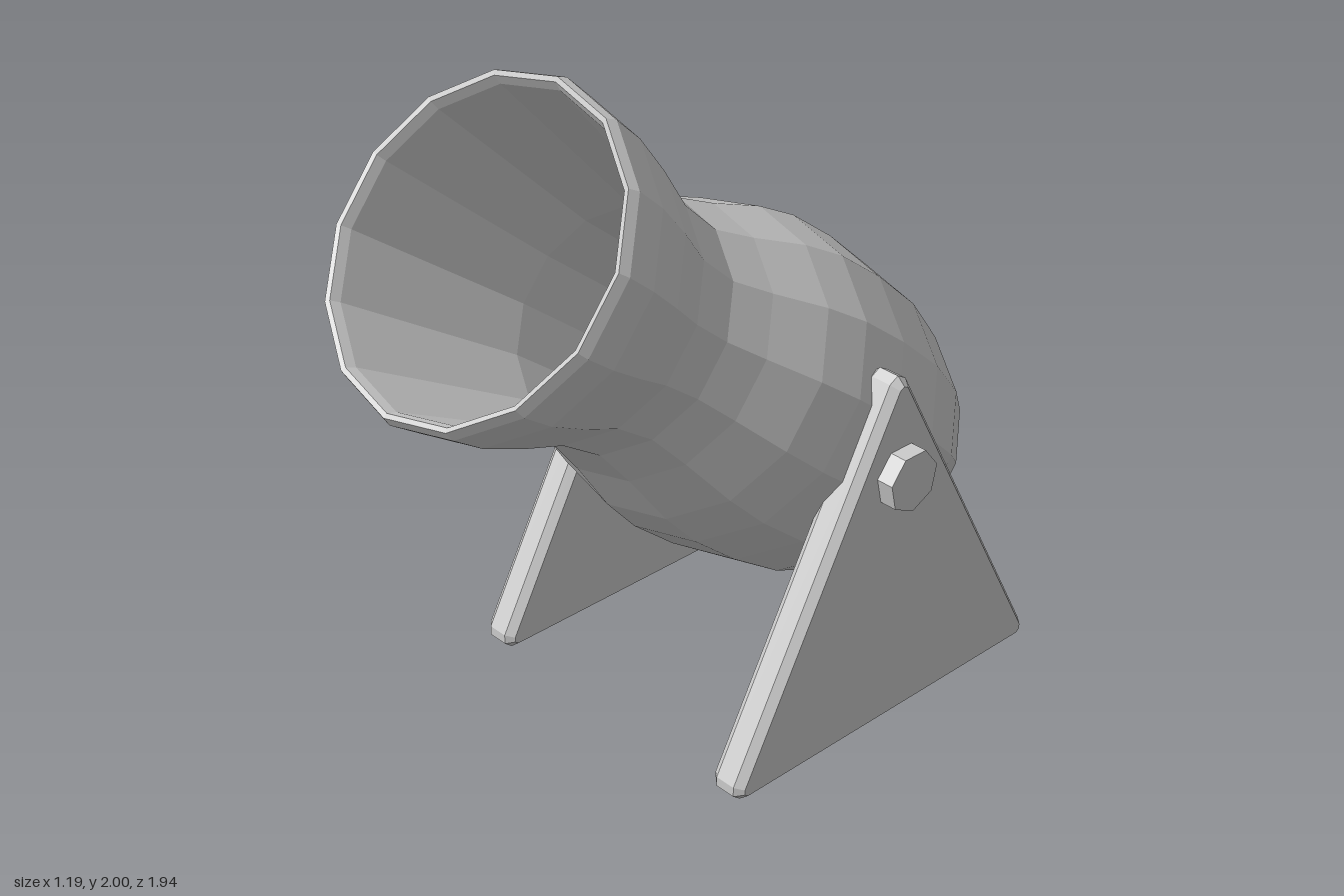
import * as THREE from 'three';

const material = new THREE.MeshStandardMaterial({ color: 0xcccccc, flatShading: true });

function addMesh(parent, name, geometry) {
  const mesh = new THREE.Mesh(geometry, material);
  mesh.name = name;
  parent.add(mesh);
  return mesh;
}

// Hollow bulbous barrel, turned around its axis with the mouth at height 0
function barrelGeometry() {
  const profile = [
    // outside: breech cap, belly, neck, flared muzzle
    [0, -1.95], [0.15, -1.95], [0.235, -1.915], [0.31, -1.863], [0.358, -1.8],
    [0.42, -1.663], [0.472, -1.458], [0.488, -1.244], [0.483, -1.055], [0.455, -0.908],
    [0.397, -0.731], [0.363, -0.598], [0.378, -0.443], [0.428, -0.289], [0.467, -0.139],
    [0.477, -0.03], [0.466, 0], [0.452, -0.003],
    // bore: tapered wall and floor
    [0.44, -0.03], [0.325, -0.6], [0.315, -0.96], [0, -0.96],
  ].map(([r, y]) => new THREE.Vector2(r, y));
  return new THREE.LatheGeometry(profile, 14).scale(1.035, 1, 1);
}

// Triangular side plate with clipped corners and bevelled edges, centred on x = 0
function plateGeometry() {
  const outline = [
    [-0.895, 0], [0.245, 0], [0.27, 0.02], [0.27, 0.05], [-0.29, 1.09],
    [-0.32, 1.107], [-0.35, 1.09], [-0.92, 0.05], [-0.92, 0.02],
  ].map(([z, y]) => new THREE.Vector2(z, y));
  const thickness = 0.115, bevel = 0.025;
  const geometry = new THREE.ExtrudeGeometry(new THREE.Shape(outline), {
    depth: thickness - 2 * bevel,
    bevelThickness: bevel,
    bevelSize: 0.02,
    bevelOffset: -0.02,
    bevelSegments: 1,
  });
  geometry.translate(0, 0, bevel - thickness / 2);
  return geometry.rotateY(-Math.PI / 2);
}

export function createModel() {
  const model = new THREE.Group();
  model.name = 'cannon';

  // Barrel tilted up towards the front
  const barrel = addMesh(model, 'barrel', barrelGeometry());
  barrel.position.set(0, 1.634, 0.682);
  barrel.rotation.x = 0.9;

  // Side plates and pivot bolts
  for (const [side, label] of [[1, 'left'], [-1, 'right']]) {
    const plate = addMesh(model, label + 'SidePlate', plateGeometry());
    plate.position.x = side * 0.487;

    const bolt = addMesh(model, label + 'PivotBolt',
      new THREE.CylinderGeometry(0.092, 0.092, 0.15, 7, 1, false, Math.PI / 2));
    bolt.rotation.z = -Math.PI / 2;
    bolt.position.set(side * 0.522, 0.812, -0.32);
  }

  return model;
}
